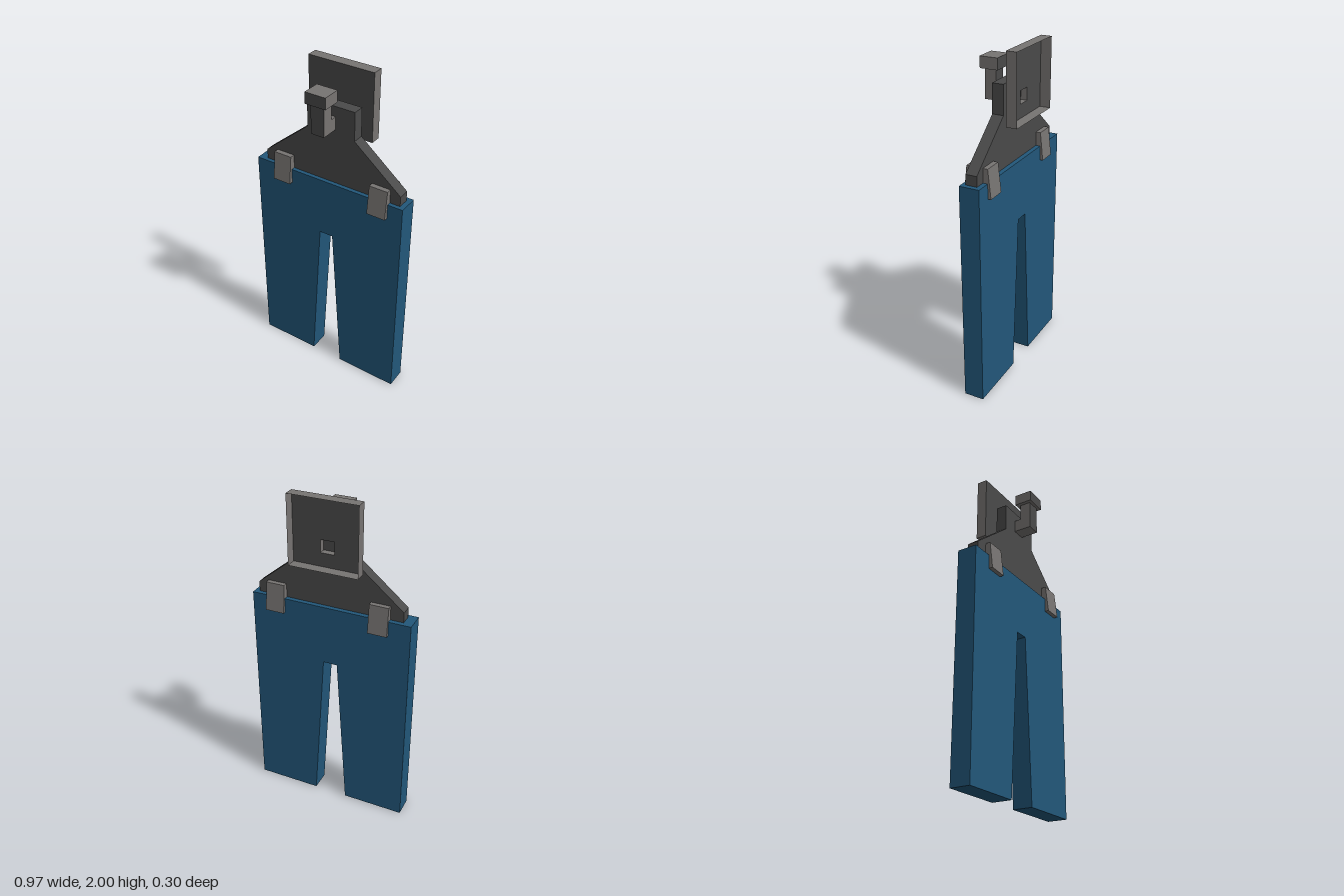
import * as THREE from 'three';

export function createModel() {
  const model = new THREE.Group();
  const mat = (name, color, side = THREE.FrontSide) => {
    const m = new THREE.MeshStandardMaterial({ color, side });
    m.name = name;
    return m;
  };
  const blue = mat('denim blue', 0x22577a);
  const dark = mat('dark grey', 0x4a4a4a, THREE.DoubleSide);
  const grey = mat('mid grey', 0x777472, THREE.DoubleSide);

  const add = (name, geometry, material) => {
    const mesh = new THREE.Mesh(geometry, material);
    mesh.name = name;
    model.add(mesh);
    return mesh;
  };
  const polygon = (pts) => new THREE.Shape(pts.map(([x, y]) => new THREE.Vector2(x, y)));
  const extrude = (pts, z0, z1) =>
    new THREE.ExtrudeGeometry(polygon(pts), { depth: z1 - z0, bevelEnabled: false }).translate(0, 0, z0);
  const box = (x0, x1, y0, y1, z0, z1) =>
    new THREE.BoxGeometry(x1 - x0, y1 - y0, z1 - z0)
      .translate((x0 + x1) / 2, (y0 + y1) / 2, (z0 + z1) / 2);
  // Four walls only, open at the front and back
  const sleeve = (...size) => {
    const g = box(...size);
    g.setIndex(Array.from(g.index.array.slice(0, 24)));
    g.clearGroups();
    return g;
  };
  // Grey walls with dark front and back
  const wallsAndCaps = [grey, grey, grey, grey, dark, dark];

  // Trousers with a tapered gap between the legs
  add('trousers', extrude([
    [-0.485, 0], [-0.11, 0], [-0.05, 0.98], [0.035, 0.98], [0.095, 0],
    [0.482, 0], [0.482, 1.34], [-0.485, 1.34],
  ], -0.075, 0.045), blue);

  // Hanger body with sloping shoulders and a square neck
  add('hangerBody', extrude([
    [-0.432, 1.34], [0.453, 1.34], [0.453, 1.4], [0.16, 1.64], [0.16, 1.81],
    [-0.142, 1.81], [-0.142, 1.64], [-0.432, 1.4],
  ], -0.047, 0.021), dark);

  // Clips flare towards the bottom on both faces
  for (const [name, x] of [['rightClip', -0.298], ['leftClip', 0.333]]) {
    const profile = [[-0.07, 1.253], [0.094, 1.253], [0.076, 1.423], [-0.051, 1.423]];
    const g = extrude(profile, -0.057, 0.057).rotateY(Math.PI / 2);
    add(name, g, grey).position.x = x;
  }

  // Mounting plate: a shallow tray open at the back, pierced by the hollow arm
  const face = polygon([[-0.205, 1.595], [0.205, 1.595], [0.205, 2], [-0.205, 2]]);
  face.holes.push(polygon([[-0.041, 1.675], [-0.041, 1.75], [0.041, 1.75], [0.041, 1.675]]));
  add('plateFace', new THREE.ShapeGeometry(face).translate(0, 0, -0.086), dark);
  add('plateRim', sleeve(-0.205, 0.205, 1.595, 2, -0.15, -0.086), grey);

  // Hook: arm through the neck, upright stem and wider cap
  add('hookArm', sleeve(-0.041, 0.041, 1.675, 1.75, -0.086, 0.062), grey);
  add('hookStem', box(-0.041, 0.041, 1.675, 1.85, 0.062, 0.13), wallsAndCaps);
  add('hookCap', box(-0.064, 0.064, 1.85, 1.917, 0.04, 0.148), wallsAndCaps);

  return model;
}
